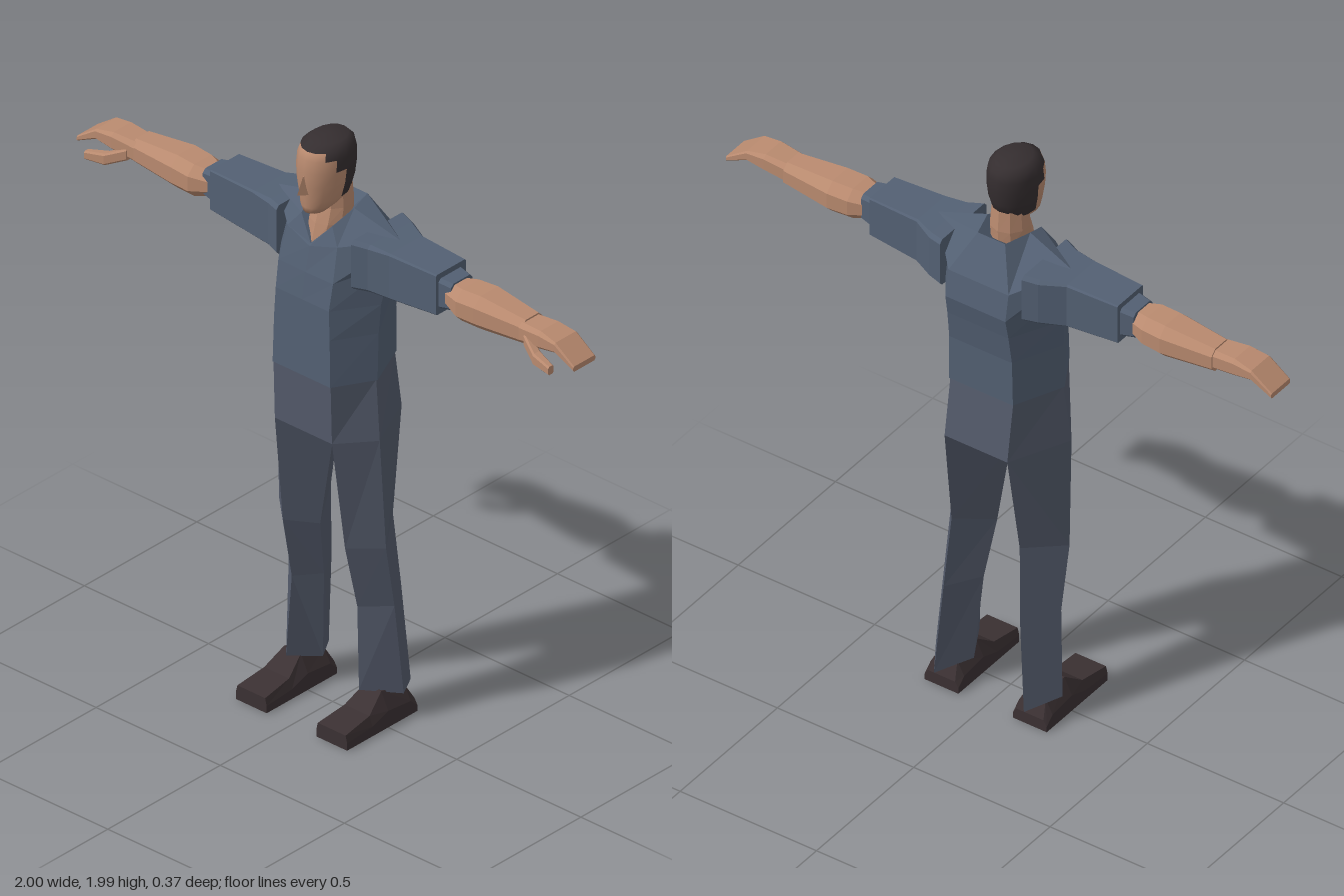
import * as THREE from 'three';
import { mergeVertices } from 'three/addons/utils/BufferGeometryUtils.js';

const mat = (name, color) => {
  const m = new THREE.MeshStandardMaterial({ color });
  m.name = name;
  return m;
};

// Closed skin over a row of rings; each ring is a list of [x, y, z].
// The caps fan out from c0 and c1, or from the ring middles. Always faces outward.
function loft(rings, c0, c1) {
  const n = rings[0].length, tris = [];
  const mid = r => [0, 1, 2].map(k => r.reduce((s, p) => s + p[k], 0) / n);
  for (let i = 0; i < rings.length - 1; i++) {
    for (let j = 0; j < n; j++) {
      const k = (j + 1) % n, r = rings[i], s = rings[i + 1];
      tris.push([r[j], r[k], s[k]], [r[j], s[k], s[j]]);
    }
  }
  const first = rings[0], last = rings[rings.length - 1];
  const a = c0 || mid(first), b = c1 || mid(last);
  for (let j = 0; j < n; j++) tris.push([a, first[(j + 1) % n], first[j]]);
  for (let j = 0; j < n; j++) tris.push([b, last[j], last[(j + 1) % n]]);

  let volume = 0;
  for (const [p, q, r] of tris) {
    volume += p[0] * (q[1] * r[2] - q[2] * r[1])
            + p[1] * (q[2] * r[0] - q[0] * r[2])
            + p[2] * (q[0] * r[1] - q[1] * r[0]);
  }
  if (volume < 0) tris.forEach(t => t.reverse());
  const g = new THREE.BufferGeometry();
  g.setAttribute('position', new THREE.Float32BufferAttribute(tris.flat(2), 3));
  g.computeVertexNormals();
  return g;
}

const flip = rings => rings.map(r => r.map(([x, y, z]) => [-x, y, z]));

// Ring symmetric in x from its left half: front middle, side points, back middle
const symmetric = half => [
  ...half, ...half.slice(1, -1).reverse().map(([x, y, z]) => [-x, y, z]),
];

// Ring across an arm: rectangle y0..y1, z0..z1 with corners cut by d
const armRing = ([x, y0, y1, z0, z1, d]) => [
  [x, y0, z0 + d], [x, y0, z1 - d], [x, y0 + d, z1], [x, y1 - d, z1],
  [x, y1, z1 - d], [x, y1, z0 + d], [x, y1 - d, z0], [x, y0 + d, z0],
];

// Horizontal oval ring: half width w, front zf, back zb
const oval = ([y, w, zf, zb], n) => Array.from({ length: n }, (_, j) => {
  const a = j / n * Math.PI * 2;
  return [w * Math.sin(a), y, (zf + zb) / 2 + (zf - zb) / 2 * Math.cos(a)];
});

export function createModel() {
  const model = new THREE.Group();
  model.name = 'standingMan';
  const skin = mat('skin', 0xb98a6f), hair = mat('hair', 0x352e30);
  const shirt = mat('shirtCloth', 0x536073), trousers = mat('trouserCloth', 0x535a6a);
  const leather = mat('shoeLeather', 0x3b3133);

  const add = (name, geometry, material) => {
    const m = new THREE.Mesh(geometry, material);
    m.name = name;
    model.add(m);
  };
  const pair = (name, rings, material) => {
    add('left' + name, loft(rings), material);
    add('right' + name, loft(flip(rings)), material);
  };

  // Head: oval rows, with hair behind the hairline of each row
  const n = 16;
  const rows = [
    [1.755, .034, .118, .035], [1.775, .052, .123, -.01], [1.8, .066, .123, -.055],
    [1.85, .077, .128, -.069], [1.9, .082, .129, -.075], [1.94, .08, .124, -.076],
    [1.965, .073, .114, -.07], [1.983, .052, .085, -.052],
  ];
  const hairline = [-2, -2, 0, 0, .3, .6, 2];
  let headGeo = loft(rows.map(r => oval(r, n)), null, [0, 1.99, .02]);
  headGeo.deleteAttribute('normal');
  headGeo = mergeVertices(headGeo);
  headGeo.computeVertexNormals();
  hairline.forEach((limit, i) => {
    for (let j = 0; j < n; j++) {
      const isHair = Math.cos((j + .5) / n * Math.PI * 2) < limit;
      headGeo.addGroup((i * n + j) * 6, 6, isHair ? 1 : 0);
    }
  });
  headGeo.addGroup(hairline.length * n * 6, n * 3, 0);
  headGeo.addGroup(hairline.length * n * 6 + n * 3, n * 3, 1);
  add('headAndHair', headGeo, [skin, hair]);

  add('nose', loft([
    [[-.014, 1.822, .12], [.014, 1.822, .12], [0, 1.832, .158]],
    [[-.006, 1.885, .12], [.006, 1.885, .12], [0, 1.885, .132]],
  ]), skin);

  // Neck, running down into the open collar
  add('neck', loft([
    [1.62, .05, .1, -.05], [1.7, .064, .077, -.065],
    [1.75, .062, .06, -.068], [1.82, .056, .055, -.062],
  ].map(r => oval(r, 10))), skin);

  // Shirt: hexagonal body rising to a V collar
  const body = (y, fx, fz, sx, sz, bx, bz) =>
    symmetric([[0, y, fz], [fx, y, fz], [sx, y, sz], [bx, y, bz], [0, y, bz]]);
  add('shirtBody', loft([
    body(1.2, .116, .139, .19, .01, .117, -.154),
    body(1.36, .112, .137, .19, .005, .115, -.156),
    body(1.46, .107, .135, .195, 0, .112, -.17),
    symmetric([[0, 1.55, .122], [.11, 1.55, .12], [.215, 1.6, -.03], [.11, 1.53, -.183], [0, 1.53, -.183]]),
    symmetric([[0, 1.632, .103], [.1, 1.66, .09], [.25, 1.69, -.03], [.11, 1.62, -.167], [0, 1.62, -.167]]),
    symmetric([[0, 1.64, .098], [.062, 1.71, .07], [.078, 1.745, -.01], [.05, 1.745, -.1], [0, 1.745, -.1]]),
  ], null, [0, 1.66, 0]), shirt);

  // Sleeves with a narrower inner end
  pair('Sleeve', [
    [.15, 1.53, 1.7, -.155, .085, .012], [.2, 1.53, 1.695, -.14, .065, .012],
    [.275, 1.532, 1.69, -.1, .052, .006], [.455, 1.545, 1.685, -.09, .042, .004],
  ].map(armRing), shirt);
  pair('SleeveEnd', [
    [.44, 1.56, 1.668, -.08, .034, .01], [.5, 1.568, 1.662, -.07, .026, .012],
  ].map(armRing), shirt);

  // Bare forearms
  pair('Forearm', [
    [.47, 1.57, 1.652, -.062, .026, .025], [.54, 1.552, 1.662, -.086, .05, .03],
    [.61, 1.551, 1.664, -.092, .046, .03], [.785, 1.565, 1.648, -.07, .028, .02],
  ].map(armRing), skin);

  // Hands with drooping fingers and a thumb
  pair('Hand', [
    [.775, 1.572, 1.642, -.064, .03, .015], [.86, 1.585, 1.647, -.066, .036, .012],
    [.925, 1.6, 1.635, -.066, .036, .006], [1, 1.564, 1.582, -.064, .034, .004],
  ].map(armRing), skin);
  pair('Thumb', [
    [.8, 1.575, 1.615, .005, .035, .006], [.865, 1.545, 1.585, .03, .064, .006],
    [.935, 1.543, 1.572, .05, .074, .005],
  ].map(armRing), skin);

  // Trousers: seat with a pointed crotch, then two four-sided legs
  add('trouserSeat', loft([
    body(1.0, .115, .13, .208, .02, .115, -.18),
    body(1.2, .115, .136, .185, .01, .115, -.15),
  ], [0, .905, 0]), trousers);
  pair('TrouserLeg', [
    [[.208, 1, .02], [.115, 1, .13], [0, .905, 0], [.115, 1, -.18]],
    [[.215, .62, 0], [.125, .62, .083], [.05, .6, 0], [.125, .65, -.13]],
    [[.213, .4, -.04], [.132, .4, .036], [.071, .4, -.04], [.14, .4, -.15]],
    [[.232, .095, -.06], [.147, .12, .045], [.093, .095, -.06], [.165, .072, -.165]],
  ], trousers);

  // Shoes: sections from heel to square toe as [z, height, top inset]
  pair('Shoe', [
    [-.13, .04, .012], [-.1, .095, .025], [0, .115, .028], [.07, .066, .012], [.183, .05, .006],
  ].map(([z, h, d]) => [
    [.1, 0, z], [.224, 0, z], [.224, h * .5, z], [.224 - d, h, z], [.1 + d, h, z], [.1, h * .5, z],
  ]), leather);

  return model;
}
